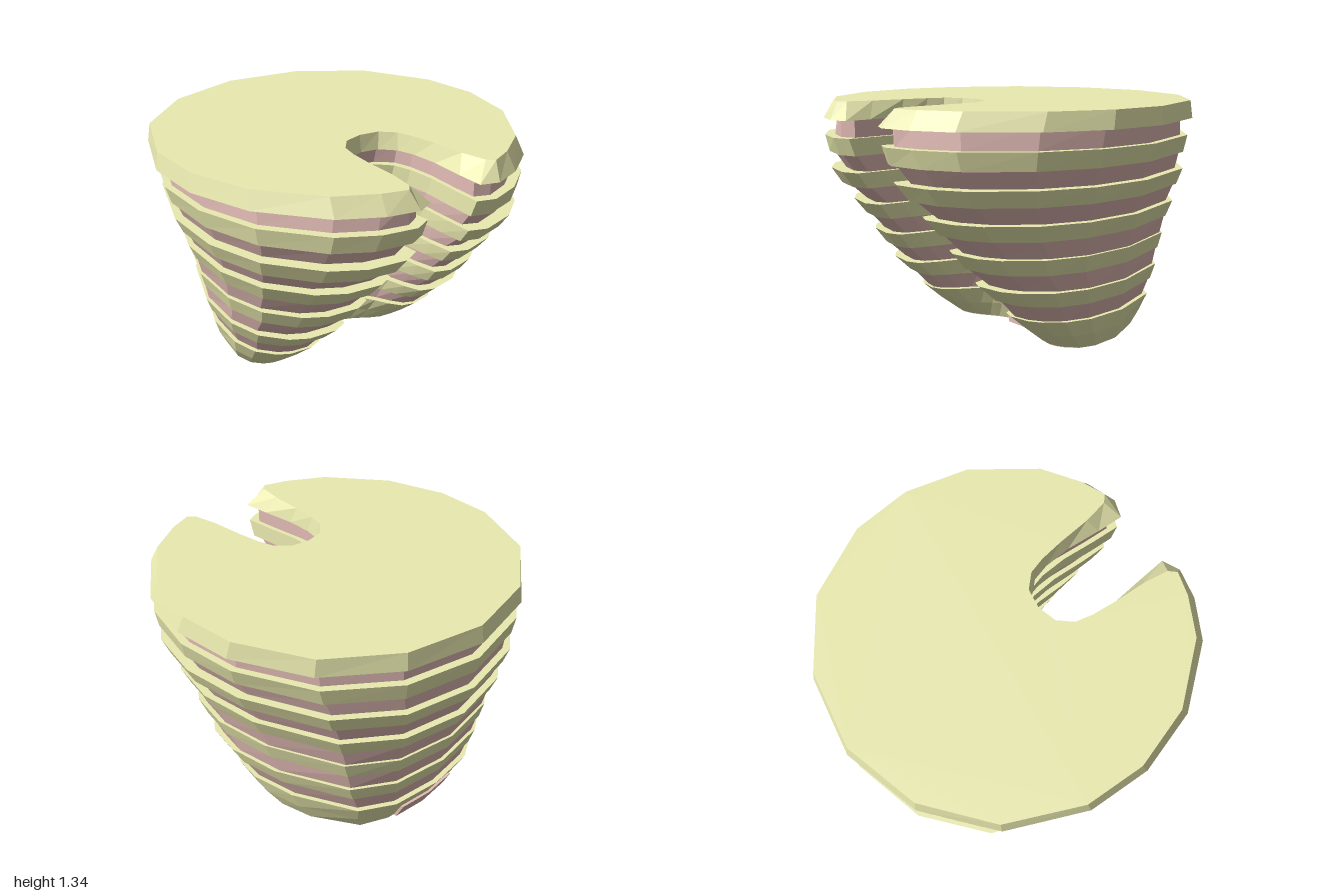
import * as THREE from 'three';

const olive = new THREE.MeshStandardMaterial({ color: 0xeaeab0, flatShading: true });
const pink = new THREE.MeshStandardMaterial({ color: 0xe4bdb7, flatShading: true });
const lerp = THREE.MathUtils.lerp;

// Outer wall, back centre to front lobe, as shares of half width and depth: [foot, top]
const OUTER = [
  [[0, 0], [0, 0]], [[0.42, 0.03], [0.44, 0.05]], [[0.68, 0.125], [0.79, 0.185]], [[0.93, 0.47], [0.98, 0.39]],
  [[1, 0.73], [1, 0.565]], [[0.97, 0.87], [0.9, 0.745]], [[0.89, 0.95], [0.65, 0.91]], [[0.81, 0.985], [0.44, 0.975]]];
// Slot wall, lobe tip to slot end: [x at foot, x at top, share of slot depth at foot, at top, share of widening]
const SLOT = [[0.42, 0.27, 1, 1, 0.3], [0.35, 0.17, 0.92, 0.947, 1], [0.29, 0.18, 0.72, 0.745, 0.6],
  [0.24, 0.2, 0.5, 0.48, 0.25], [0.19, 0.195, 0.3, 0.275, 0.12], [0.14, 0.17, 0.15, 0.14, 0.12],
  [0.07, 0.1, 0.034, 0.034, 0.12], [0, 0, 0, 0, 0]];

// One closed C-shaped outline; inset opens the whole slot, flare opens mainly its mouth
function section({ y, w, back, front, inset = 0, flare = 0 }) {
  const k = Math.min(1, y / 1.25);
  const kSlot = Math.min(1, y / 1.05);
  const end = lerp(-0.1, 0.25, k) - inset - flare * 0.15;
  const half = OUTER.map(([lo, hi]) => [lerp(lo[0], hi[0], k) * w, lerp(back, front, lerp(lo[1], hi[1], k))]);
  for (const [lo, hi, dLo, dHi, share] of SLOT) {
    const x = lerp(lo, hi, kSlot);
    half.push([x + inset * Math.min(1, x / 0.15) * (share === 0.3 ? 0.4 : 1) + flare * share,
      lerp(end, front, lerp(dLo, dHi, kSlot))]);
  }
  const mirrored = half.slice(1, -1).reverse().map(([x, z]) => [-x, z]);
  return [...half, ...mirrored].map(([x, z]) => new THREE.Vector3(x, y, z));
}

// Joins outlines into a closed solid with flat caps
function loft(name, material, levels) {
  const rings = levels.map(section);
  const n = rings[0].length;
  const index = [];
  for (let r = 0; r < rings.length - 1; r++) {
    for (let i = 0; i < n; i++) {
      const a = r * n + i, b = r * n + (i + 1) % n;
      index.push(a, a + n, b, b, a + n, b + n);
    }
  }
  const cap = (r, up) => {
    const flat = rings[r].map(p => new THREE.Vector2(p.x, p.z));
    for (const [a, b, c] of THREE.ShapeUtils.triangulateShape(flat, [])) {
      const area = THREE.ShapeUtils.area([flat[a], flat[b], flat[c]]);
      const order = (area < 0) === up ? [a, b, c] : [a, c, b];
      index.push(...order.map(i => i + r * n));
    }
  };
  cap(0, false);
  cap(rings.length - 1, true);
  let geometry = new THREE.BufferGeometry().setFromPoints(rings.flat());
  geometry.setIndex(index);
  geometry = geometry.toNonIndexed();
  geometry.computeVertexNormals();
  const mesh = new THREE.Mesh(geometry, material);
  mesh.name = name;
  return mesh;
}

const level = ([y, w, back, front], extra = {}) => ({ y, w, back, front, ...extra });

export function createModel() {
  const group = new THREE.Group();
  group.name = 'notchedCounter';

  // Inner core, showing between the bands: [y, half width, back z, front z]
  const core = [
    [0.1, 0.62, -0.69, 0.14], [0.2, 0.66, -0.74, 0.28], [0.3, 0.71, -0.77, 0.37], [0.39, 0.735, -0.79, 0.43],
    [0.49, 0.76, -0.82, 0.55], [0.58, 0.78, -0.84, 0.58], [0.68, 0.81, -0.87, 0.68],
    [0.77, 0.82, -0.88, 0.71], [0.87, 0.87, -0.925, 0.83], [0.96, 0.88, -0.93, 0.85],
    [1.05, 0.92, -0.94, 0.92], [1.15, 0.93, -0.94, 0.93], [1.27, 0.93, -0.94, 0.93],
  ];
  group.add(loft('core', pink, core.map(l => level(l, { inset: 0.03 }))));

  // Foot plate
  group.add(loft('footPlate', pink, [
    level([0.003, 0.58, -0.65, 0.05], { inset: 0.01 }),
    level([0.03, 0.58, -0.65, 0.05], { inset: 0.01 })]));

  // Base band
  group.add(loft('baseBand', olive, [
    level([0.01, 0.59, -0.66, 0.06]), level([0.1, 0.645, -0.71, 0.18]), level([0.2, 0.685, -0.77, 0.3])]));

  // Flared bands: lower outline and upper outline
  const bands = [
    [[0.3, 0.72, -0.78, 0.39], [0.39, 0.76, -0.81, 0.49]],
    [[0.49, 0.77, -0.83, 0.56], [0.58, 0.8, -0.855, 0.635]],
    [[0.68, 0.82, -0.88, 0.7], [0.77, 0.86, -0.92, 0.78]],
    [[0.87, 0.895, -0.935, 0.86], [0.96, 0.935, -0.97, 0.93]],
    [[1.055, 0.945, -0.965, 0.95], [1.15, 0.97, -0.985, 0.985]],
  ];
  bands.forEach((b, i) => group.add(loft('band' + (i + 1), olive, b.map(l => level(l)))));

  // Top slab, tapering inwards to its upper face
  group.add(loft('topSlab', olive, [
    level([1.245, 1, -1, 1]),
    level([1.34, 0.98, -0.985, 0.94], { flare: 0.09 })]));

  // Small panels at the foot: one bent around the back, one in the slot
  const backGeometry = new THREE.BoxGeometry(0.4, 0.1, 0.07, 2, 1, 1);
  const p = backGeometry.attributes.position;
  for (let i = 0; i < p.count; i++) {
    p.setZ(i, p.getZ(i) + 0.1 * Math.abs(p.getX(i)) - 0.5 * p.getY(i));
  }
  const backPanel = new THREE.Mesh(backGeometry, pink);
  backPanel.name = 'backFootPanel';
  backPanel.position.set(0, 0.053, -0.667);
  const slotPanel = new THREE.Mesh(new THREE.BoxGeometry(0.16, 0.1, 0.12), pink);
  slotPanel.name = 'slotFootPanel';
  slotPanel.position.set(0, 0.053, -0.1);
  group.add(backPanel, slotPanel);
  return group;
}
